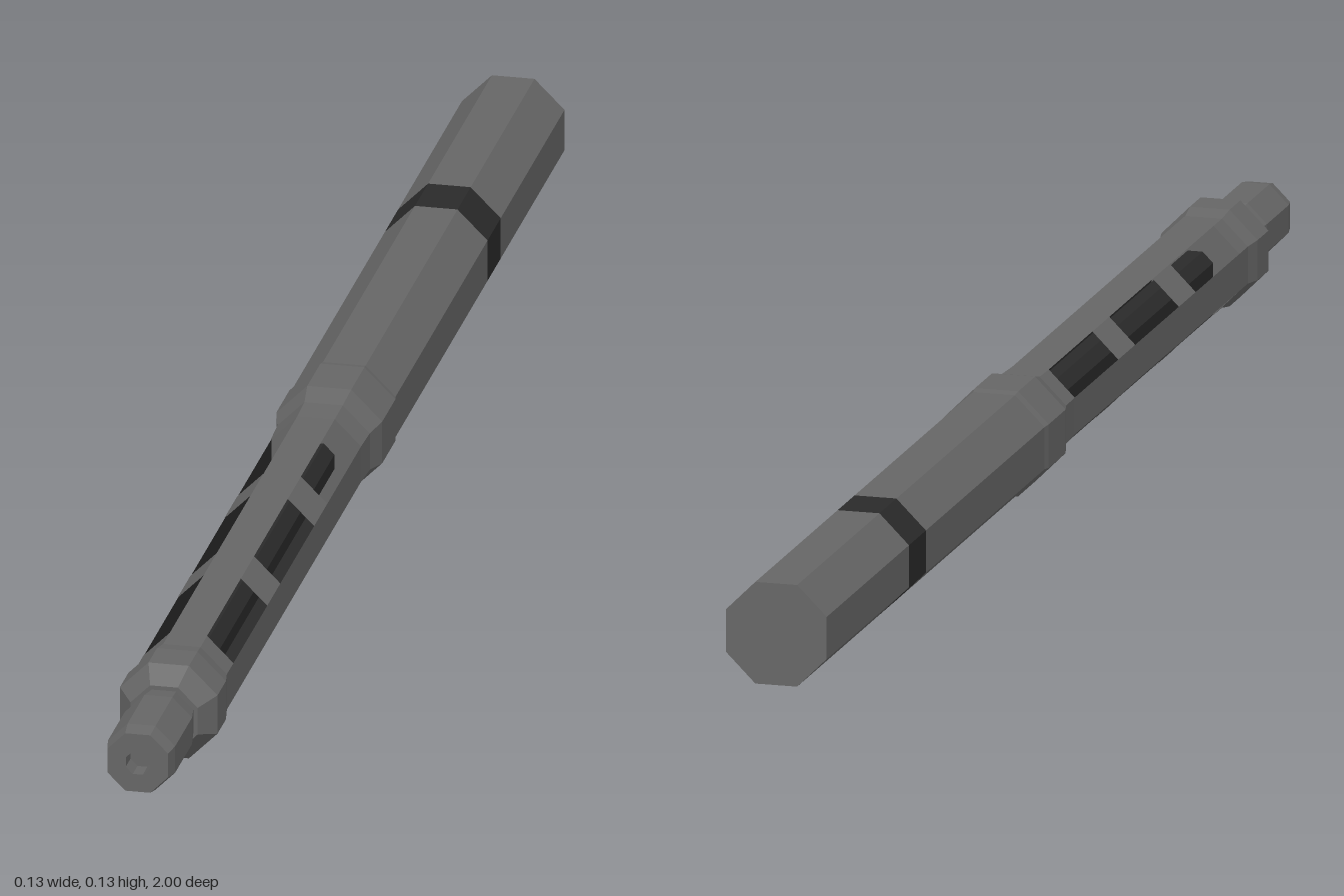
import * as THREE from 'three';

const gunmetal = new THREE.MeshStandardMaterial({ color: 0x666666 });
gunmetal.name = 'gunmetal grey';
const black = new THREE.MeshStandardMaterial({ color: 0x2a2a2a });
black.name = 'matt black';

const AXIS_Y = 0.063;
const FACE = Math.PI / 4;

// Octagonal loft along z. Profile pairs are [distance from axis to flat, z], from back to front.
function octagon(name, profile, material, firstFace = 0, faces = 8) {
  const points = profile.map(([r, z]) => new THREE.Vector2(r / Math.cos(FACE / 2), z));
  const lathe = new THREE.LatheGeometry(points, faces, (firstFace - 0.5) * FACE, faces * FACE);
  const geometry = lathe.rotateX(Math.PI / 2).toNonIndexed();
  geometry.computeVertexNormals();
  const mesh = new THREE.Mesh(geometry, material);
  mesh.name = name;
  return mesh;
}

export function createModel() {
  const model = new THREE.Group();
  model.name = 'ventedBarrel';

  // Rear tube in two lengths with a black band between
  model.add(octagon('rearTube', [[0, -1], [0.061, -1], [0.061, -0.66]], gunmetal));
  model.add(octagon('band', [[0.061, -0.66], [0.061, -0.59]], black));
  model.add(octagon('frontTube', [[0.061, -0.59], [0.061, -0.1]], gunmetal));

  // Collar where the tube steps down to the vented shroud
  model.add(octagon('rearCollar', [
    [0.061, -0.1], [0.063, -0.09], [0.063, -0.02], [0.055, 0.01], [0.0535, 0.05], [0, 0.05],
  ], gunmetal));

  // Vented shroud: four long strips with bridges across the diagonal openings
  const shroud = new THREE.Group();
  shroud.name = 'ventedShroud';
  const sheet = (name, face, z0, z1) => {
    shroud.add(octagon(name, [[0.0535, z0], [0.0535, z1]], gunmetal, face, 1));
    shroud.add(octagon(name + 'Lining', [[0.053, z1], [0.053, z0]], black, face, 1));
  };
  for (let face = 0; face < 8; face += 2) {
    sheet('strip', face, 0.05, 0.73);
    sheet('bridge', face + 1, 0.23, 0.3);
    sheet('bridge', face + 1, 0.48, 0.55);
  }
  model.add(shroud);
  model.add(octagon('innerBarrel', [[0.0218, 0.05], [0.0218, 0.73]], black));

  // Front collar
  model.add(octagon('frontCollar', [
    [0, 0.73], [0.0535, 0.73], [0.0535, 0.765], [0.058, 0.79], [0.058, 0.835], [0.04, 0.86], [0, 0.86],
  ], gunmetal));

  // Muzzle with a shallow bore
  model.add(octagon('muzzle', [
    [0.034, 0.855], [0.04, 0.89], [0.04, 0.98], [0.036, 1], [0.0142, 1], [0.0142, 0.975], [0, 0.975],
  ], gunmetal));

  model.position.y = AXIS_Y;
  const root = new THREE.Group();
  root.add(model);
  return root;
}
